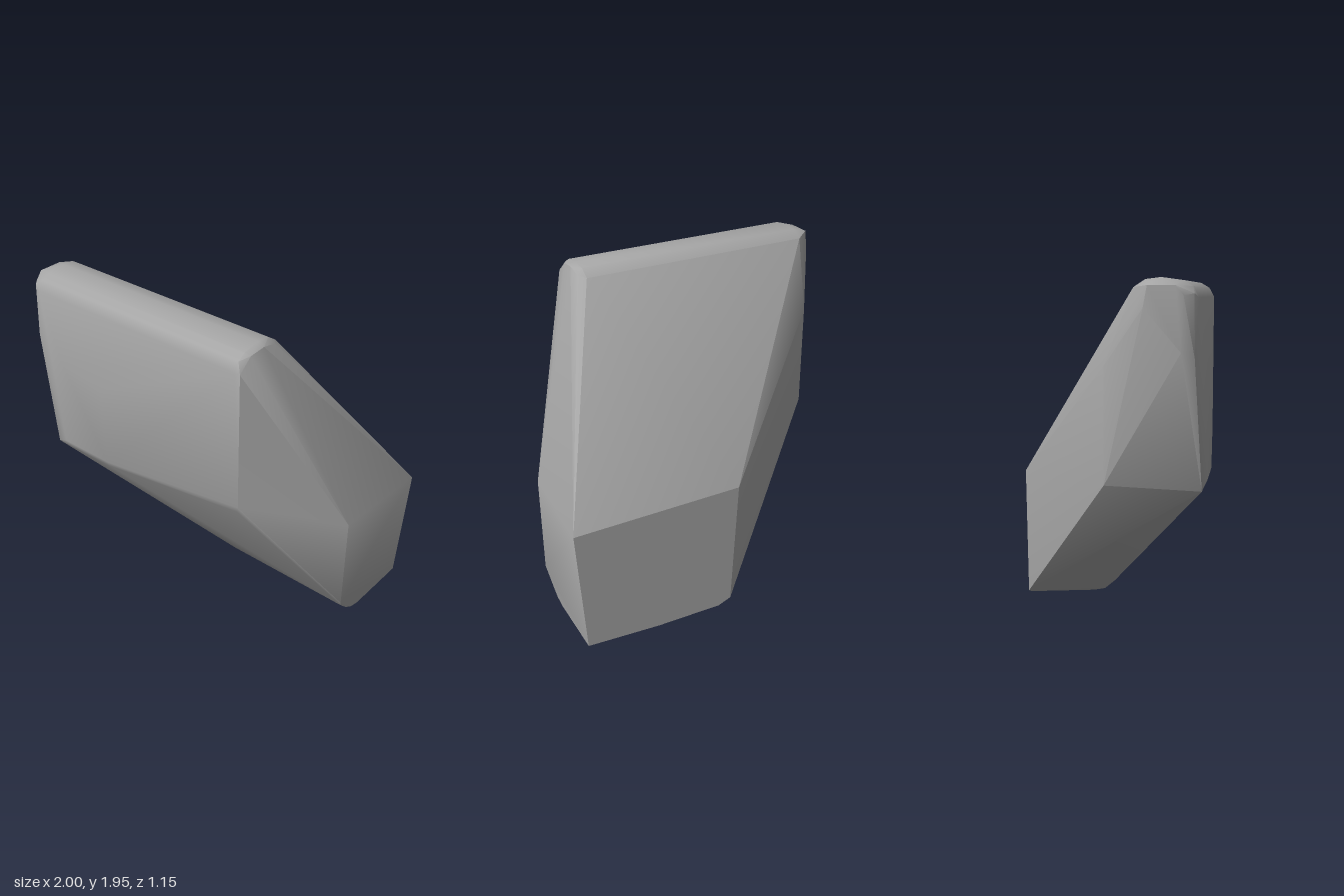
import * as THREE from 'three';
import { ConvexGeometry } from 'three/addons/geometries/ConvexGeometry.js';
import { toCreasedNormals } from 'three/addons/utils/BufferGeometryUtils.js';

const V = (x, y, z) => new THREE.Vector3(x, y, z);

export function createModel() {
  const stone = new THREE.MeshStandardMaterial({ color: 0xa6a6a6 });
  const points = [];

  // rounded top ridge: [z, y] profile, with slightly pulled-in ends
  const ridge = [[0.53, 1.85], [0.5, 1.905], [0.45, 1.935], [0.34, 1.95], [0.26, 1.94], [0.2, 1.9]];
  for (const [z, y] of ridge) {
    points.push(V(-0.9, y, z), V(0.52, y, z));
  }
  points.push(V(0.55, 1.85, 0.525), V(0.55, 1.92, 0.44), V(0.555, 1.93, 0.34), V(0.555, 1.91, 0.25));

  // blunt end of the ridge
  points.push(
    V(-1, 1.91, 0.28), V(-1, 1.91, 0.42), V(-1, 1.86, 0.46), V(-1, 1.58, 0.45),
    V(-1, 1.8, 0.26), V(-0.95, 1.87, 0.51), V(-0.96, 1.55, 0.515));

  // bulging front and its lower edge
  points.push(
    V(-0.72, 1.47, 0.575), V(-0.42, 1.4, 0.57), V(-0.75, 0.91, 0.575), V(-0.4, 0.91, 0.575),
    V(-0.84, 0.86, 0.55), V(-0.4, 0.87, 0.555), V(0.55, 1.02, 0.53), V(0.53, 0.97, 0.51));

  // slanted side beside the sloping back
  points.push(V(-0.85, 0.88, 0.04), V(-0.85, 1.5, 0.04), V(-0.8, 1.58, 0.06));

  // upright corner of the opposite side
  points.push(V(0.955, 0.8, 0.04), V(0.95, 0.2, 0.04));

  // flat back face
  points.push(
    V(1, 0.8, -0.575), V(-0.02, 0.8, -0.575), V(0.95, 0.045, -0.575),
    V(0.5, 0.01, -0.575), V(0.1, 0, -0.575), V(0.02, 0.03, -0.575));

  // rounded front edge of the base
  for (const [z, y] of [[0.02, 0.16], [-0.04, 0.1], [-0.1, 0.06], [-0.17, 0.04]]) {
    points.push(V(0.94, y, z));
  }
  points.push(V(0.08, 0.1, -0.04), V(0.07, 0.05, -0.1), V(0.09, 0.03, -0.17), V(0.5, 0.03, -0.17));

  const rock = new THREE.Mesh(toCreasedNormals(new ConvexGeometry(points), 0.6), stone);
  rock.name = 'rock';

  const model = new THREE.Group();
  model.name = 'boulder';
  model.add(rock);
  return model;
}
